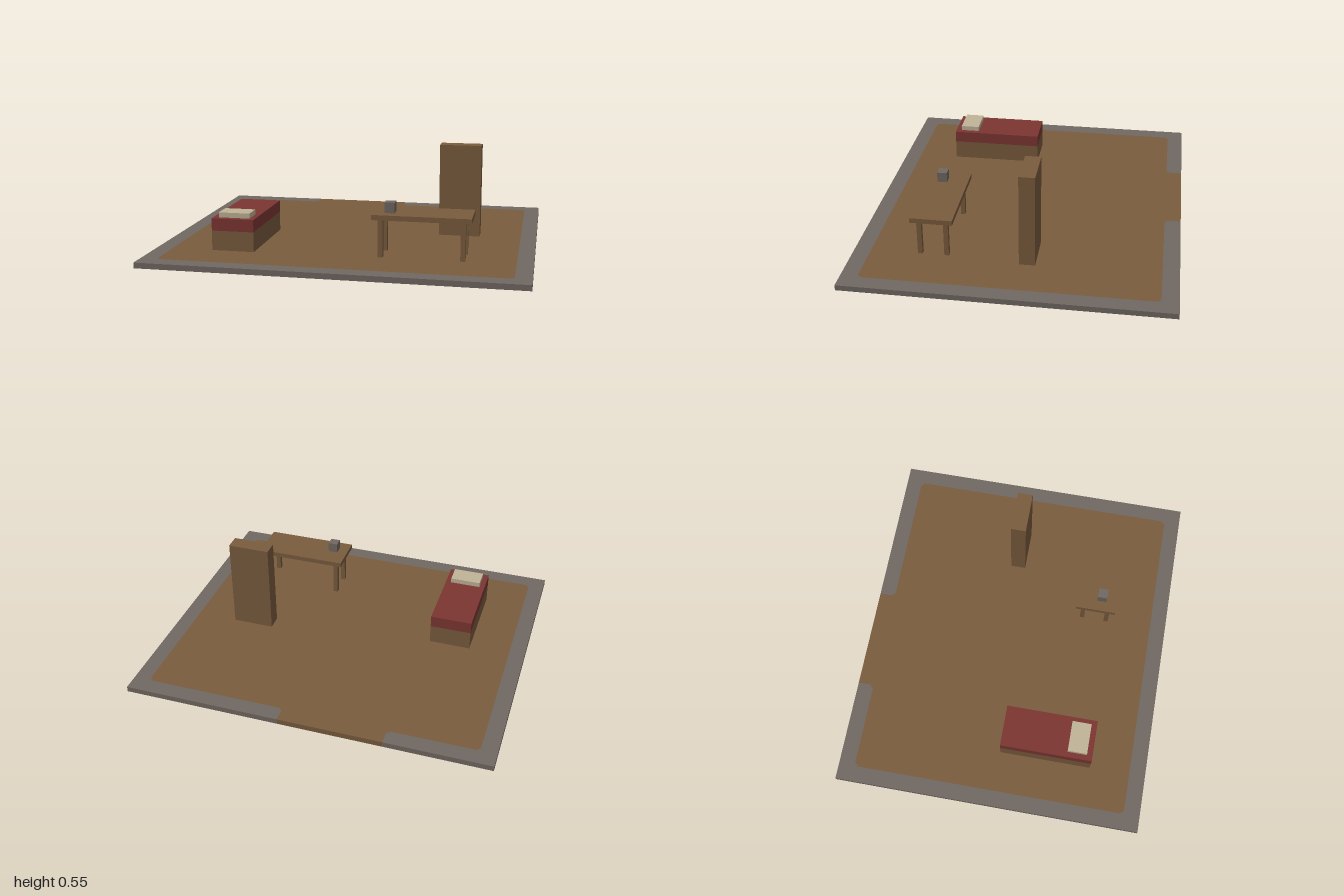
import * as THREE from 'three';

const flat = (name, color) => Object.assign(new THREE.MeshStandardMaterial({ color, flatShading: true }), { name });

export function createModel() {
  const wood = flat('wood', 0x7a5c3e);
  const stone = flat('stone', 0x716862);
  const red = flat('redBlanket', 0x7d3632);
  const cream = flat('creamLinen', 0xc0b398);
  const model = new THREE.Group();
  model.name = 'room';

  // Box from its limits on each axis
  function box(parent, name, mat, [x0, x1], [y0, y1], [z0, z1]) {
    const mesh = new THREE.Mesh(new THREE.BoxGeometry(x1 - x0, y1 - y0, z1 - z0), mat);
    mesh.position.set((x0 + x1) / 2, (y0 + y1) / 2, (z0 + z1) / 2);
    mesh.name = name;
    parent.add(mesh);
  }
  function group(name) {
    const g = new THREE.Group();
    g.name = name;
    model.add(g);
    return g;
  }
  // Flat slab from an outline of [x, z] points
  function slab(parent, name, mat, points, height) {
    const shape = new THREE.Shape(points.map(([x, z]) => new THREE.Vector2(x, -z)));
    const geo = new THREE.ExtrudeGeometry(shape, { depth: height, bevelEnabled: false });
    geo.rotateX(-Math.PI / 2);
    const mesh = new THREE.Mesh(geo, mat);
    mesh.name = name;
    parent.add(mesh);
  }

  // Floor: wooden inside with a doorway at the back, framed by a stone border
  const top = 0.03, X = 1, Z = 0.857, x = 0.913, z = 0.768, c = 0.02;
  const doorL = -0.43, doorR = 0.137;
  const inside = [
    [doorR, -Z], [doorR, -z - c], [doorR + c, -z],
    [x - c, -z], [x, -z + c], [x, z - c], [x - c, z],
    [-x + c, z], [-x, z - c], [-x, -z + c], [-x + c, -z],
    [doorL - c, -z], [doorL, -z - c], [doorL, -Z],
  ];
  const floor = group('floor');
  slab(floor, 'floorBoards', wood, inside, top);
  slab(floor, 'stoneBorder', stone, [...inside, [-X, -Z], [-X, Z], [X, Z], [X, -Z]], top);

  // Bed
  const bed = group('bed');
  const bx = [-0.69, -0.46], bz = [0.03, 0.542];
  box(bed, 'bedBase', wood, bx, [top, 0.137], bz);
  box(bed, 'blanket', red, bx, [0.137, 0.203], bz);
  box(bed, 'pillow', cream, [-0.66, -0.49], [0.203, 0.23], [0.403, 0.51]);

  // Table with four legs and a small block on it
  const table = group('table');
  box(table, 'tableTop', wood, [0.17, 0.685], [0.233, 0.26], [0.317, 0.542]);
  for (const lx of [0.2, 0.628])
    for (const lz of [0.347, 0.489])
      box(table, 'tableLeg', wood, [lx, lx + 0.026], [top, 0.233], [lz, lz + 0.025]);
  box(table, 'stoneCup', stone, [0.229, 0.283], [0.26, 0.316], [0.43, 0.484]);

  // Tall cabinet
  box(model, 'cabinet', wood, [0.455, 0.685], [top, 0.545], [-0.114, -0.029]);

  return model;
}
